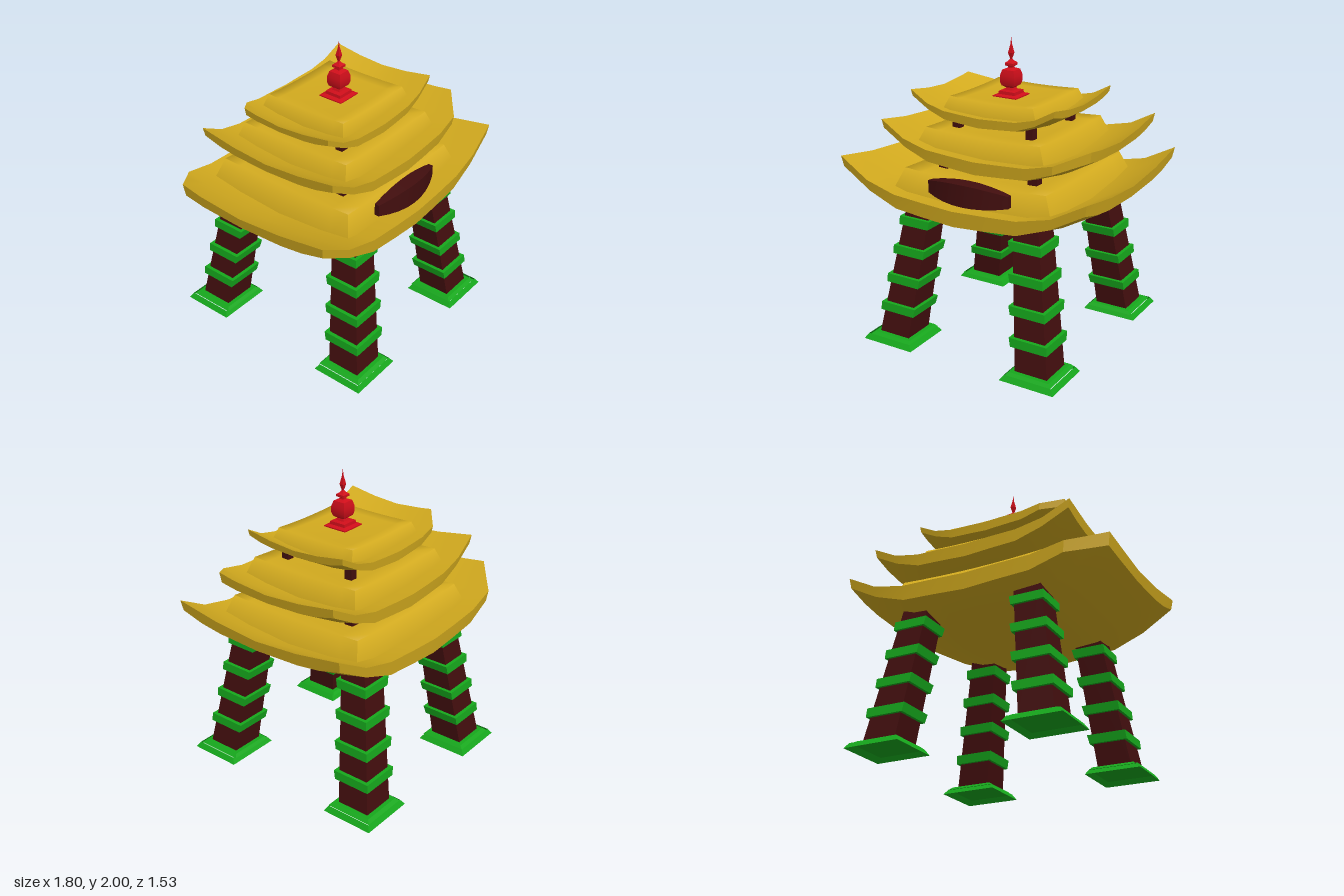
import * as THREE from 'three';
import { toCreasedNormals } from 'three/addons/utils/BufferGeometryUtils.js';

const mat = (color) => new THREE.MeshStandardMaterial({ color });
const GOLD = mat(0xd2aa1e), WOOD = mat(0x420e0e), GREEN = mat(0x16a81c), RED = mat(0xd00e1a);
GREEN.side = THREE.DoubleSide; // the foot skirts are open below
const CX = 0.037; // centre line of the frame

function add(parent, name, geometry, material) {
  const mesh = new THREE.Mesh(geometry, material);
  mesh.name = name;
  parent.add(mesh);
  return mesh;
}

// Piecewise linear curve over |t|
function curve(stops, t) {
  const a = Math.min(Math.abs(t), 1);
  let i = 1;
  while (i < stops.length - 1 && a > stops[i][0]) i++;
  const [[t0, y0], [t1, y1]] = [stops[i - 1], stops[i]];
  return y0 + (y1 - y0) * (a - t0) / (t1 - t0);
}

// Closed block between a top sheet and a bottom sheet, both functions of (u, v)
function slab(steps, top, bottom, crease = 0.5) {
  const n = steps.length, pos = [], idx = [];
  for (const sheet of [top, bottom])
    for (const u of steps) for (const v of steps) pos.push(...sheet(u, v));
  const T = (i, j) => i * n + j, B = (i, j) => n * n + i * n + j;
  const quad = (a, b, c, d) => idx.push(a, b, c, a, c, d);
  for (let i = 0; i < n - 1; i++)
    for (let j = 0; j < n - 1; j++) {
      quad(T(i, j), T(i, j + 1), T(i + 1, j + 1), T(i + 1, j));
      quad(B(i, j), B(i + 1, j), B(i + 1, j + 1), B(i, j + 1));
    }
  const m = n - 1;
  for (let k = 0; k < m; k++) {
    const edges = [
      [[0, k], [0, k + 1]], [[k, m], [k + 1, m]],
      [[m, m - k], [m, m - k - 1]], [[m - k, 0], [m - k - 1, 0]],
    ];
    for (const [p, q] of edges) quad(B(...p), B(...q), T(...q), T(...p));
  }
  const g = new THREE.BufferGeometry();
  g.setAttribute('position', new THREE.Float32BufferAttribute(pos, 3));
  g.setIndex(idx);
  return toCreasedNormals(g, crease);
}

const STEPS = [-1, -0.75, -0.5, -0.25, 0, 0.25, 0.5, 0.75, 1];
const TOP_X = [[0, 0], [0.5, 0.022], [0.75, 0.075], [1, 0.197]];
const LOW_X = [[0, 0], [0.5, 0.03], [0.75, 0.108], [1, 0.23]];
const TOP_Z = [[0, 0], [0.5, 0.025], [1, 0.078]];
const LOW_Z = [[0, 0], [0.5, 0.014], [0.75, 0.036], [1, 0.078]];

// Upswept roof with one cut corner, given by the signs (su, sv)
function roofGeometry(su, sv) {
  const sheet = (size, y, riseX, riseZ) => (u0, v0) => {
    const k = Math.min(1, 1.74 / Math.max(su * u0 + sv * v0, 0.001));
    const cut = su * u0 > 0 && sv * v0 > 0 ? k : 1;
    const u = u0 * cut, v = v0 * cut;
    return [u * 0.9 * size, y + curve(riseX, u) + curve(riseZ, v), v * (0.7 - 0.05 * u * u) * size];
  };
  return slab(STEPS, sheet(1, 0.105, TOP_X, TOP_Z), sheet(0.985, 0, LOW_X, LOW_Z));
}

// Raised, slightly sagging platform resting on the curved roof top, softly shaded
function platformGeometry() {
  return slab(STEPS,
    (u, v) => [u * 0.52, 0.3 + 0.018 * u * u + 0.014 * v * v, v * 0.51],
    (u, v) => [u * 0.58, 0.09 + curve(TOP_X, u * 0.64) + curve(TOP_Z, v * 0.8), v * 0.555], 1.4);
}

// Square prism that leans towards the centre line with height
const centreAt = (y) => [0.532 - 0.14 * y, 0.58 - 0.135 * y];
function leaningPrism(y0, y1, half0, half1) {
  const sheet = (y, half) => (u, v) => {
    const [x, z] = centreAt(y);
    return [x + u * half, y, z + v * half];
  };
  return slab([-1, 1], sheet(y1, half1), sheet(y0, half0));
}

// Open sloping skirt of the foot
function footSkirt() {
  const g = new THREE.CylinderGeometry(0.167 * Math.SQRT2, 0.191 * Math.SQRT2, 0.035, 4, 1, true);
  g.deleteAttribute('uv');
  g.rotateY(Math.PI / 4).scale(1, 1, 0.95).translate(0.532, 0.0175, 0.583);
  return toCreasedNormals(g, 0.5);
}

// Mirrors a geometry into the quadrant (sx, sz), keeping faces outward
function mirrored(geometry, sx, sz) {
  const g = geometry.clone().scale(sx, 1, sz);
  if (sx * sz < 0) {
    for (const attr of Object.values(g.attributes)) {
      const a = attr.array;
      for (let i = 0; i < a.length; i += 9)
        for (let c = 0; c < 3; c++) [a[i + 3 + c], a[i + 6 + c]] = [a[i + 6 + c], a[i + 3 + c]];
    }
  }
  return g;
}

export function createModel() {
  const model = new THREE.Group();
  model.name = 'tieredGate';

  // Legs with feet and bands
  const legParts = [
    ['legPost', leaningPrism(0.035, 0.95, 0.115, 0.091), WOOD],
    ['footSkirt', footSkirt(), GREEN],
    ['footTop', leaningPrism(0.03, 0.048, 0.162, 0.143), GREEN],
  ];
  [0.235, 0.435, 0.635, 0.835].forEach((y, i) => {
    const h = 0.133 - i * 0.006;
    legParts.push(['legBand', leaningPrism(y - 0.029, y + 0.029, h - 0.003, h + 0.001), GREEN]);
  });
  for (const sx of [-1, 1])
    for (const sz of [-1, 1]) {
      const leg = new THREE.Group();
      leg.name = (sz > 0 ? 'front' : 'back') + (sx > 0 ? 'Left' : 'Right') + 'Leg';
      leg.position.x = CX;
      for (const [name, g, m] of legParts) add(leg, name, mirrored(g, sx, sz), m);
      model.add(leg);
    }

  // Three roof tiers: name, scale, base height, centre x, cut corner
  const tiers = [
    ['lowerRoof', 1, 0.847, 0, -1, -1],
    ['middleRoof', 0.805, 1.175, 0.073, 1, 1],
    ['upperRoof', 0.585, 1.443, 0.011, -1, -1],
  ];
  for (const [name, s, y, x, su, sv] of tiers) {
    const roof = add(model, name, roofGeometry(su, sv), GOLD);
    roof.scale.setScalar(s);
    roof.position.set(x, y, 0);
    const platform = add(model, name + 'Platform', platformGeometry(), GOLD);
    platform.scale.setScalar(s);
    platform.position.set(CX, y, 0);
  }

  // Short posts between the tiers
  for (const [s, y] of [[1, 1.19], [0.81, 1.445]]) {
    const spots = [[0, 0, 0.1]];
    for (const sx of [-1, 1]) for (const sz of [-1, 1]) spots.push([sx * 0.335, sz * 0.32, 0.065]);
    for (const [x, z, w] of spots)
      add(model, 'tierPost', new THREE.BoxGeometry(w * s, 0.11, w * s), WOOD).position.set(CX + x * s, y, z * s);
  }

  // Bowed plaque on the front of the lower roof
  const plaque = new THREE.BoxGeometry(0.59, 0.145, 0.1, 8, 1, 1);
  const p = plaque.attributes.position;
  for (let i = 0; i < p.count; i++) {
    const t = p.getX(i) / 0.295;
    p.setY(i, p.getY(i) * (1 - 0.45 * t * t) - 0.008 * t * t);
    if (p.getZ(i) > 0) p.setZ(i, p.getZ(i) - 0.068 * t * t);
  }
  add(model, 'frontPlaque', toCreasedNormals(plaque, 0.5), WOOD).position.set(CX, 1.118, 0.593);

  // Square finial: half width and height
  const profile = [
    [0, 1.59], [0.087, 1.59], [0.087, 1.627], [0.06, 1.635], [0.058, 1.655], [0.03, 1.66],
    [0.024, 1.675], [0.045, 1.69], [0.053, 1.715], [0.053, 1.755], [0.042, 1.792], [0.016, 1.803],
    [0.016, 1.812], [0.03, 1.82], [0.03, 1.835], [0.013, 1.848], [0.005, 1.86],
    [0.015, 1.9], [0.004, 1.955], [0, 2],
  ].map(([r, y]) => new THREE.Vector2(r * Math.SQRT2, y));
  const finial = new THREE.LatheGeometry(profile, 4).rotateY(Math.PI / 4);
  add(model, 'finial', toCreasedNormals(finial, 0.4), RED).position.set(0.026, 0, 0.03);

  return model;
}
